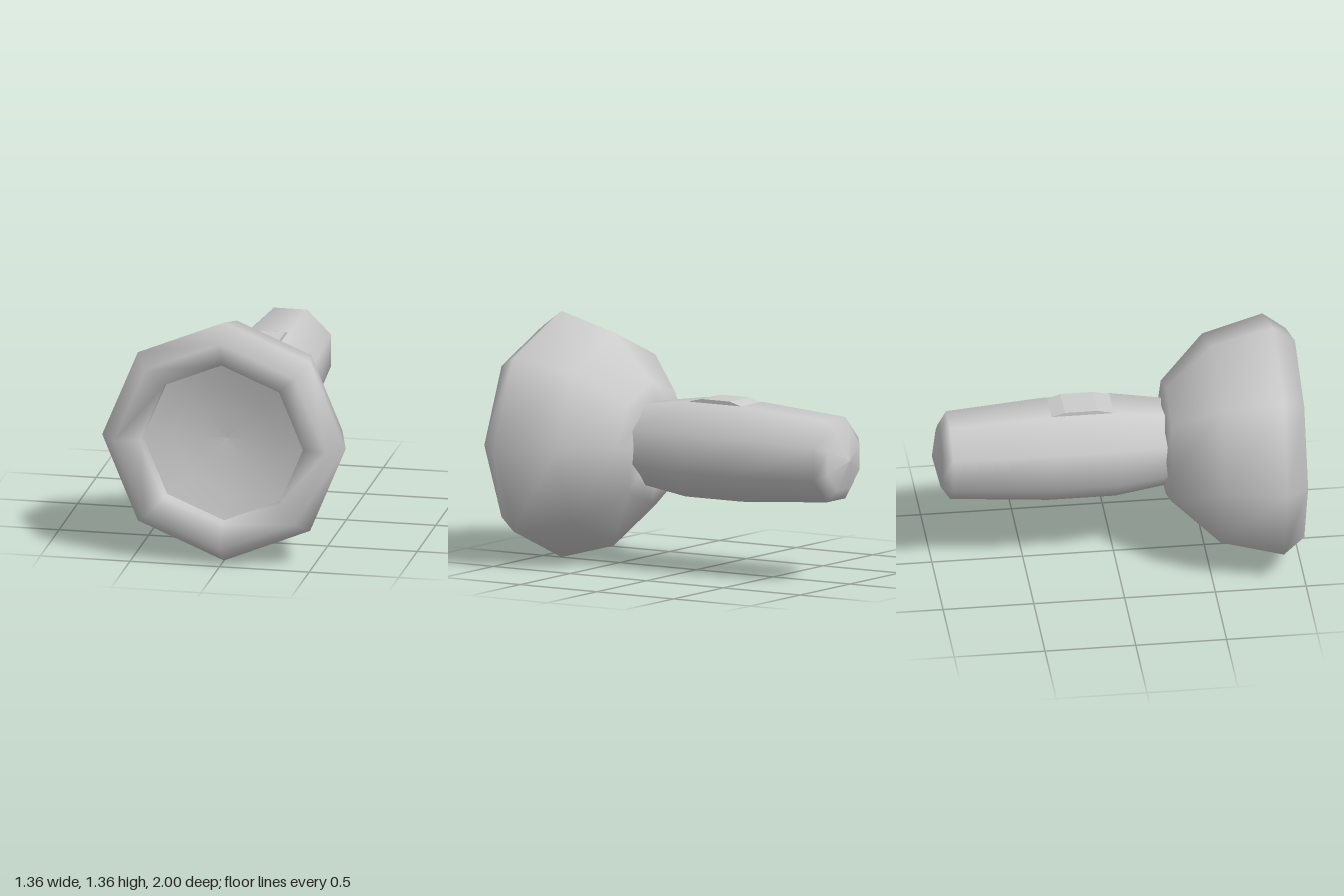
import * as THREE from 'three';

const AXIS_Y = 0.683;

export function createModel() {
  const group = new THREE.Group();
  const material = new THREE.MeshStandardMaterial({ color: 0xcccccc });

  const add = (name, geometry) => {
    const mesh = new THREE.Mesh(geometry, material);
    mesh.name = name;
    group.add(mesh);
    return mesh;
  };

  // Eight-sided turned part along z; profile is a list of [radius, z]
  const turned = (name, profile, phase = 0, scale = 1) => {
    const points = profile.map(([r, z]) => new THREE.Vector2(r * scale, z));
    const geometry = new THREE.LatheGeometry(points, 8, phase);
    geometry.rotateX(Math.PI / 2);
    add(name, geometry).position.y = AXIS_Y;
  };

  // Flared head with a rounded rim that turns in to the lens opening
  turned('head', [
    [0, 0.25], [0.23, 0.265], [0.34, 0.29], [0.59, 0.54], [0.68, 0.88],
    [0.59, 1], [0.455, 0.95], [0.45, 0.87],
  ]);

  // Shallow concave reflector inside the rim
  turned('reflector', [[0.455, 0.88], [0.3, 0.84], [0.15, 0.815], [0, 0.805]]);

  // Tapered grip with flats on top, bottom and sides, and a domed tail
  turned('handle', [
    [0, -1], [0.16, -0.96], [0.225, -0.91], [0.262, -0.37],
    [0.262, 0], [0.225, 0.26], [0.22, 0.3],
  ], Math.PI / 8, 1 / Math.cos(Math.PI / 8));

  // Low ramped switch on the top flat
  const side = new THREE.Shape([
    [0.36, 0.92], [0.36, 0.943], [0.28, 0.966], [0.1, 0.966], [0, 0.943], [0, 0.92],
  ].map(([x, y]) => new THREE.Vector2(x, y)));
  const button = new THREE.ExtrudeGeometry(side, { depth: 0.2, bevelEnabled: false });
  button.translate(0, 0, -0.1);
  button.rotateY(Math.PI / 2);
  add('switch', button);

  return group;
}
